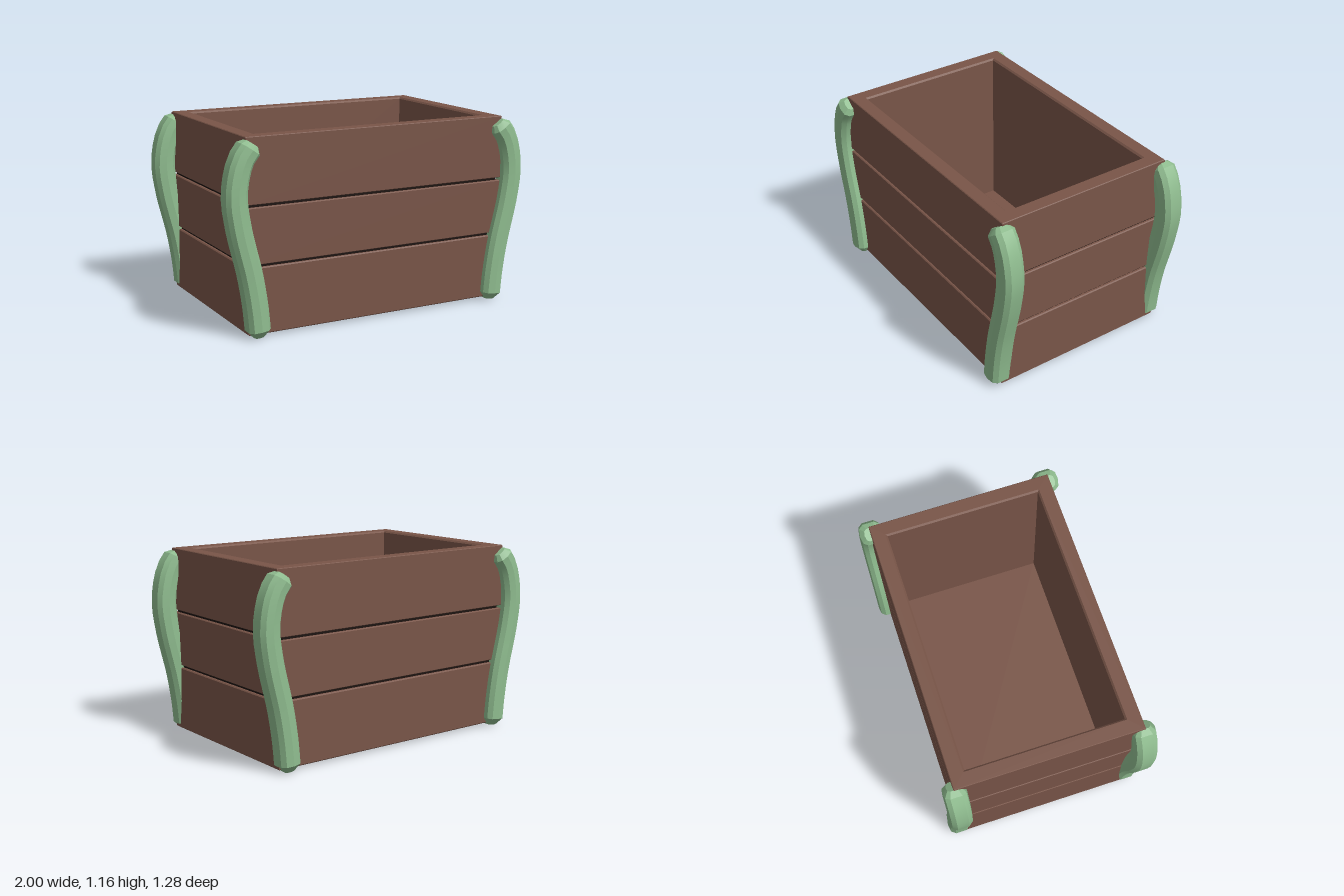
import * as THREE from 'three';
import { toCreasedNormals } from 'three/addons/utils/BufferGeometryUtils.js';

const wood = new THREE.MeshStandardMaterial({ color: 0x795548 });
wood.name = 'brown wood';
const shade = new THREE.MeshStandardMaterial({ color: 0x1c1310 });
shade.name = 'dark groove';
const green = new THREE.MeshStandardMaterial({ color: 0x8fbc8f });
green.name = 'soft green';

// Skins a list of equal-length rings; caps are optional fans at both ends
function loft(rings, capStart = true, capEnd = true) {
  const pos = [];
  const tri = (...pts) => pts.forEach((p) => pos.push(p.x, p.y, p.z));
  for (let i = 0; i < rings.length - 1; i++) {
    const lo = rings[i], hi = rings[i + 1], n = lo.length;
    for (let k = 0; k < n; k++) {
      const m = (k + 1) % n;
      tri(lo[k], lo[m], hi[m]);
      tri(lo[k], hi[m], hi[k]);
    }
  }
  const first = rings[0], last = rings[rings.length - 1];
  for (let k = 1; k < first.length - 1; k++) {
    if (capStart) tri(first[0], first[k + 1], first[k]);
    if (capEnd) tri(last[0], last[k], last[k + 1]);
  }
  const geo = new THREE.BufferGeometry();
  geo.setAttribute('position', new THREE.Float32BufferAttribute(pos, 3));
  geo.computeVertexNormals();
  return geo;
}

// Rectangle ring of the crate, moved inwards by inset
function rect(inset, y) {
  const hx = 0.862 - inset, hz = 0.575 - inset;
  return [[hx, hz], [hx, -hz], [-hx, -hz], [-hx, hz]].map(([x, z]) => new THREE.Vector3(x, y, z));
}

// Curved corner post with a faceted section and tapered ends
function postGeometry() {
  const path = new THREE.CatmullRomCurve3([
    [0.803, 0.05], [0.815, 0.18], [0.845, 0.37], [0.912, 0.66],
    [0.932, 0.85], [0.893, 1.03], [0.845, 1.10],
  ].map(([x, y]) => new THREE.Vector3(x, y, 0)));
  const section = [
    [0.066, 0.036], [0.066, -0.036], [0.045, -0.063], [0, -0.071], [-0.045, -0.063],
    [-0.066, -0.036], [-0.066, 0.036], [-0.045, 0.063], [0, 0.071], [0.045, 0.063],
  ];
  const ring = (c, t, s) => section.map(([u, v]) =>
    new THREE.Vector3(c.x + t.y * u * s, c.y - t.x * u * s, v * s));
  const rings = [];
  const steps = 18;
  for (let i = 0; i <= steps; i++) {
    const c = path.getPointAt(i / steps), t = path.getTangentAt(i / steps);
    if (i === 0) rings.push(ring(c.clone().addScaledVector(t, -0.045), t, 0.45));
    rings.push(ring(c, t, 1));
    if (i === steps) rings.push(ring(c.clone().addScaledVector(t, 0.033), t, 0.6));
  }
  return toCreasedNormals(loft(rings), 0.3);
}

export function createModel() {
  const model = new THREE.Group();
  model.name = 'planter';
  const add = (name, geo, mat, parent) => {
    const mesh = new THREE.Mesh(geo, mat);
    mesh.name = name;
    parent.add(mesh);
    return mesh;
  };

  const crate = new THREE.Group();
  crate.name = 'crate';
  model.add(crate);

  // Three stacked plank bands with bevelled edges
  const bevel = 0.006;
  add('lowerPlanks', loft([
    rect(bevel, 0.018), rect(0, 0.024), rect(0, 0.408), rect(bevel, 0.414), rect(0.025, 0.414),
  ], true, false), wood, crate);
  add('middlePlanks', loft([
    rect(0.025, 0.43), rect(bevel, 0.43), rect(0, 0.434), rect(0, 0.757), rect(bevel, 0.762), rect(0.025, 0.762),
  ], false, false), wood, crate);
  // Top band turns over the rim and runs down to the inner floor
  add('upperPlanksAndInterior', loft([
    rect(0.025, 0.778), rect(bevel, 0.778), rect(0, 0.782), rect(0, 1.161), rect(0.004, 1.165),
    rect(0.084, 1.165), rect(0.094, 1.155), rect(0.094, 0.11),
  ], false, true), wood, crate);

  // Shadow gaps between the bands
  for (const [name, y] of [['lowerGroove', 0.414], ['upperGroove', 0.762]]) {
    add(name, loft([rect(0.018, y), rect(0.018, y + 0.016)], false, false), shade, crate);
  }

  // Four corner posts
  const post = postGeometry();
  for (const [side, turn] of [['Left', 0], ['Right', Math.PI]]) {
    for (const [end, z] of [['front', 0.57], ['back', -0.57]]) {
      const mesh = add(`${end}${side}Post`, post, green, model);
      mesh.rotation.y = turn;
      mesh.position.z = z;
    }
  }
  return model;
}
